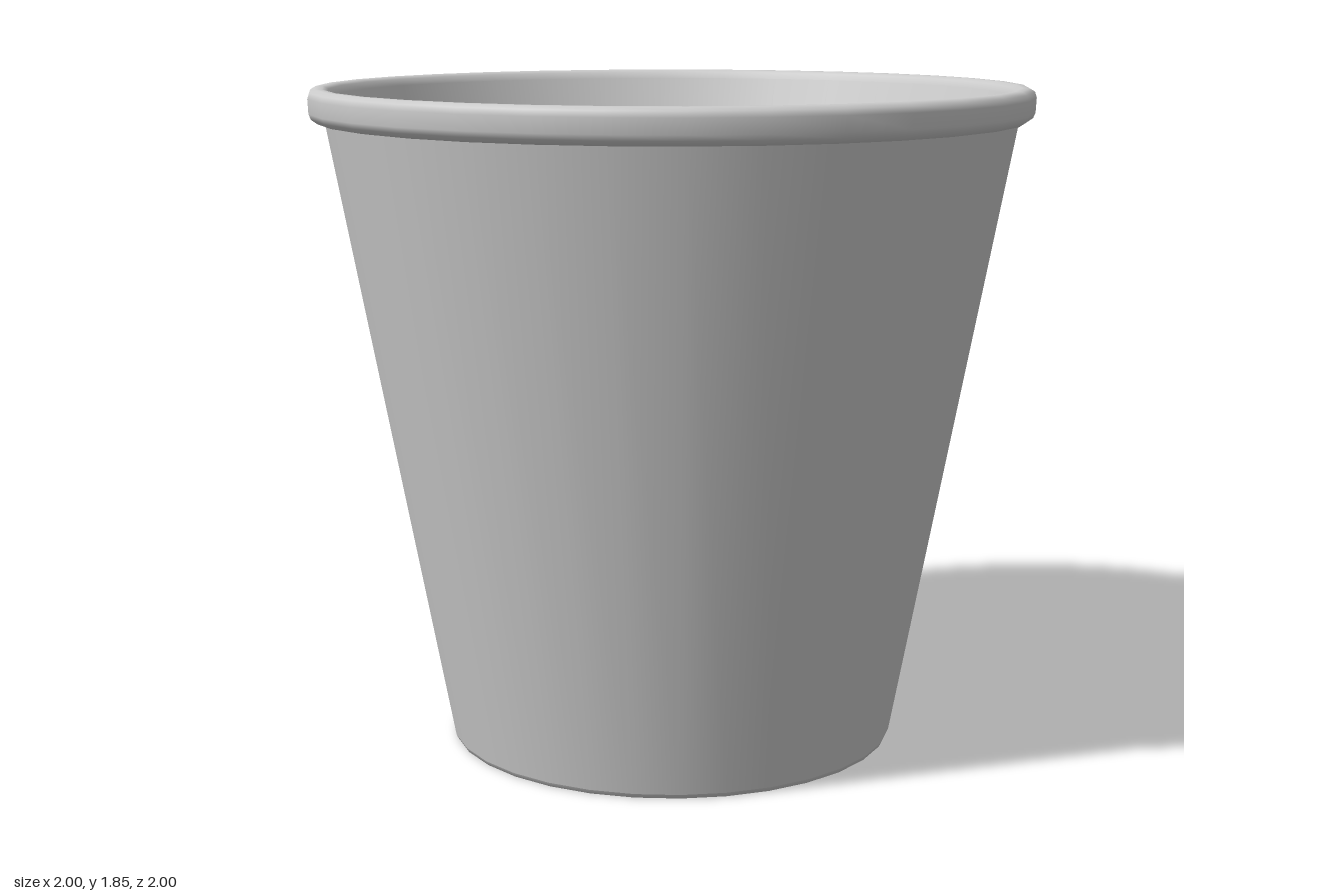
import * as THREE from 'three';

const SIDES = 32;

// Each part is a smooth lathed strip; separate strips keep the edges between them crisp.
function ring(name, profile) {
  const points = profile.map(([r, y]) => new THREE.Vector2(r, y));
  const mesh = new THREE.Mesh(
    new THREE.LatheGeometry(points, SIDES),
    new THREE.MeshStandardMaterial({ color: 0xcccccc, side: THREE.DoubleSide })
  );
  mesh.name = name;
  return mesh;
}

export function createModel() {
  const cup = new THREE.Group();
  cup.name = 'cup';
  cup.add(
    // recessed underside and the skirt around it
    ring('underside', [[0, 0.12], [0.635, 0.12]]),
    ring('recessWall', [[0.635, 0.12], [0.615, 0.008]]),
    ring('footEdge', [[0.615, 0.008], [0.619, 0], [0.626, 0], [0.632, 0.012]]),
    // tapered outside
    ring('outerWall', [[0.632, 0.012], [0.955, 1.755]]),
    // rolled lip
    ring('rim', [
      [0.955, 1.75], [0.975, 1.753], [0.992, 1.765], [0.998, 1.78], [1, 1.82],
      [0.995, 1.836], [0.98, 1.845], [0.96, 1.845], [0.945, 1.838], [0.938, 1.82],
    ]),
    // steeper tapered inside, down to a small floor
    ring('innerWall', [[0.938, 1.82], [0.327, 0.155]]),
    ring('floor', [[0.327, 0.155], [0.315, 0.142], [0.305, 0.14], [0, 0.14]])
  );
  return cup;
}
